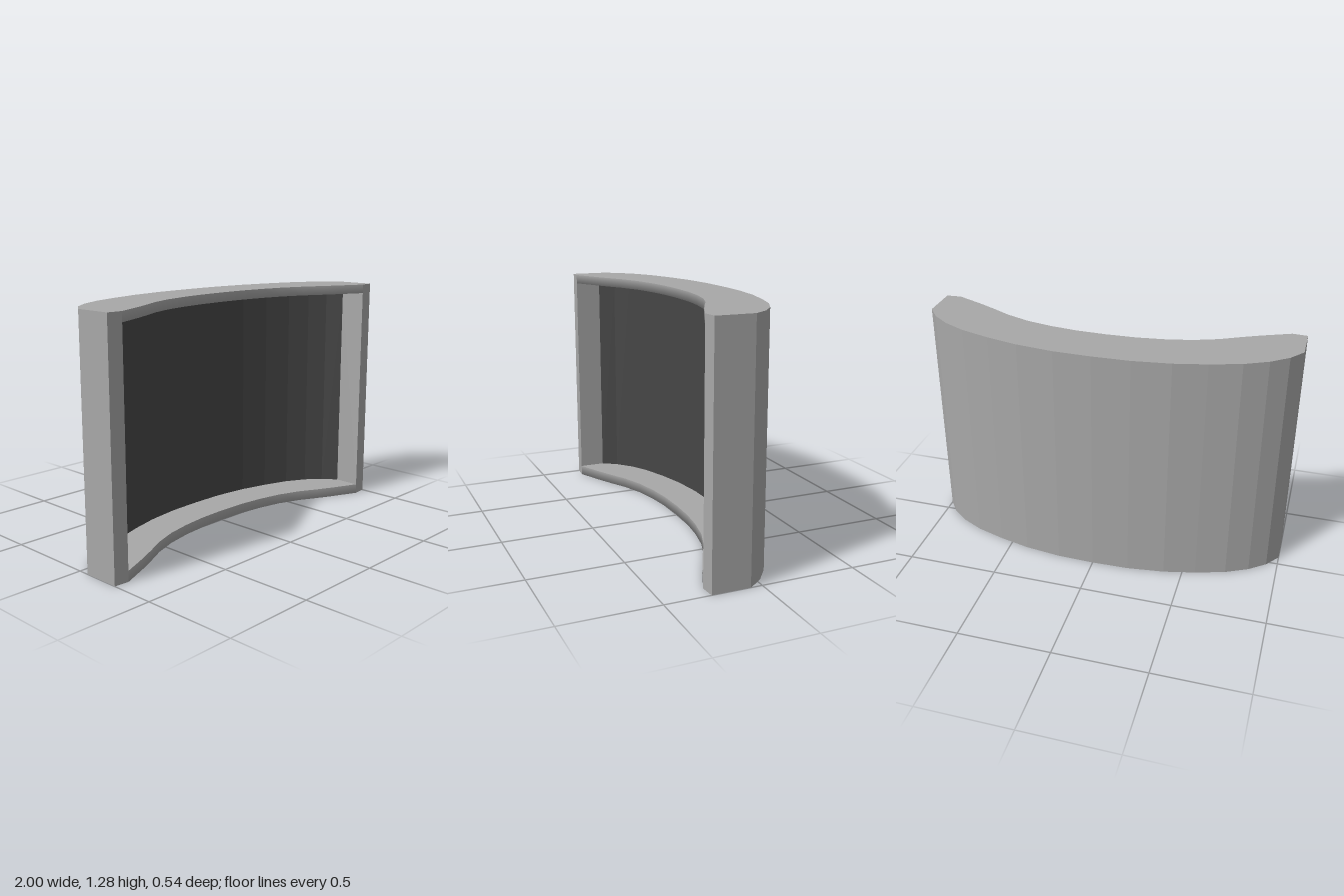
import * as THREE from 'three';

// Half profiles in plan, as [x, z], from the middle out to the left edge
const BACK = [[0, -0.27], [0.2, -0.265], [0.4, -0.24], [0.57, -0.2], [0.73, -0.15],
  [0.85, -0.09], [0.94, -0.02], [1, 0.06]];
const FRONT = [[0, 0], [0.16, 0.005], [0.3, 0.022], [0.44, 0.052], [0.57, 0.1],
  [0.67, 0.153], [0.77, 0.202], [0.92, 0.268]];
const CORNER = [1, 0.262];
const HEIGHT = 1.28, SILL = 0.055, HEAD = 1.23;

// The screen follows the back curve, inset
const SCREEN = BACK.map(([x, z]) => [x * 0.92, z + 0.06]);

// Mirror a half profile into a full one running from -x to +x
const mirror = (half) => [...half.slice(1).reverse().map(([x, z]) => [-x, z]), ...half];

// Upright prism over a plan outline
function prism(outline, y0, y1) {
  const shape = new THREE.Shape(outline.map(([x, z]) => new THREE.Vector2(x, -z)));
  const geo = new THREE.ExtrudeGeometry(shape, { depth: y1 - y0, bevelEnabled: false });
  return geo.rotateX(-Math.PI / 2).translate(0, y0, 0);
}

// Smooth the curved front of a rail and soften its lower edge
function softenFront(geo, y0) {
  const p = geo.attributes.position, n = geo.attributes.normal;
  const curve = mirror(FRONT), v = new THREE.Vector3();
  for (let i = 0; i < p.count; i++) {
    if (n.getZ(i) < 0.3 || Math.abs(p.getX(i)) > 0.925) continue;
    // leave the flat end faces of the posts alone
    if (Math.abs(p.getX(i)) > 0.915 && n.getX(i) * p.getX(i) > 0) continue;
    const k = curve.findIndex(([x]) => Math.abs(x - p.getX(i)) < 0.01);
    if (k < 0) continue;
    const a = curve[Math.max(k - 1, 0)], b = curve[Math.min(k + 1, curve.length - 1)];
    v.set(a[1] - b[1], 0, b[0] - a[0]).normalize();
    if (p.getY(i) < y0 + 0.001) v.y = -0.8;
    v.normalize();
    n.setXYZ(i, v.x, v.y, v.z);
  }
  return geo;
}

export function createModel() {
  const group = new THREE.Group();
  const frameGrey = new THREE.MeshStandardMaterial({ color: 0xa8a8a8 });
  frameGrey.name = 'frame grey';
  const screenGrey = new THREE.MeshStandardMaterial({ color: 0x464646 });
  screenGrey.name = 'screen dark grey';

  const add = (name, geo, mat) => {
    const mesh = new THREE.Mesh(geo, mat);
    mesh.name = name;
    group.add(mesh);
  };

  const rear = mirror([...BACK, CORNER]);

  // Top and bottom rails: the full plan outline
  const railOutline = [...rear, ...mirror(FRONT).reverse()];
  add('bottomRail', softenFront(prism(railOutline, 0, SILL), 0), frameGrey);
  add('topRail', softenFront(prism(railOutline, HEAD, HEIGHT), HEAD), frameGrey);

  // Side posts and back shell in one C-shaped piece
  const shellOutline = [...rear, ...mirror([...SCREEN, FRONT[FRONT.length - 1]]).reverse()];
  add('backShell', prism(shellOutline, SILL, HEAD), frameGrey);

  // Curved screen, faceted like the back
  const pts = mirror(SCREEN);
  let screen = new THREE.PlaneGeometry(1, HEAD - SILL, pts.length - 1, 1);
  const p = screen.attributes.position;
  for (let i = 0; i < p.count; i++) {
    const [x, z] = pts[i % pts.length];
    p.setXYZ(i, x, p.getY(i) + (HEAD + SILL) / 2, z + 0.005);
  }
  screen = screen.toNonIndexed();
  screen.computeVertexNormals();
  add('screen', screen, screenGrey);

  return group;
}
